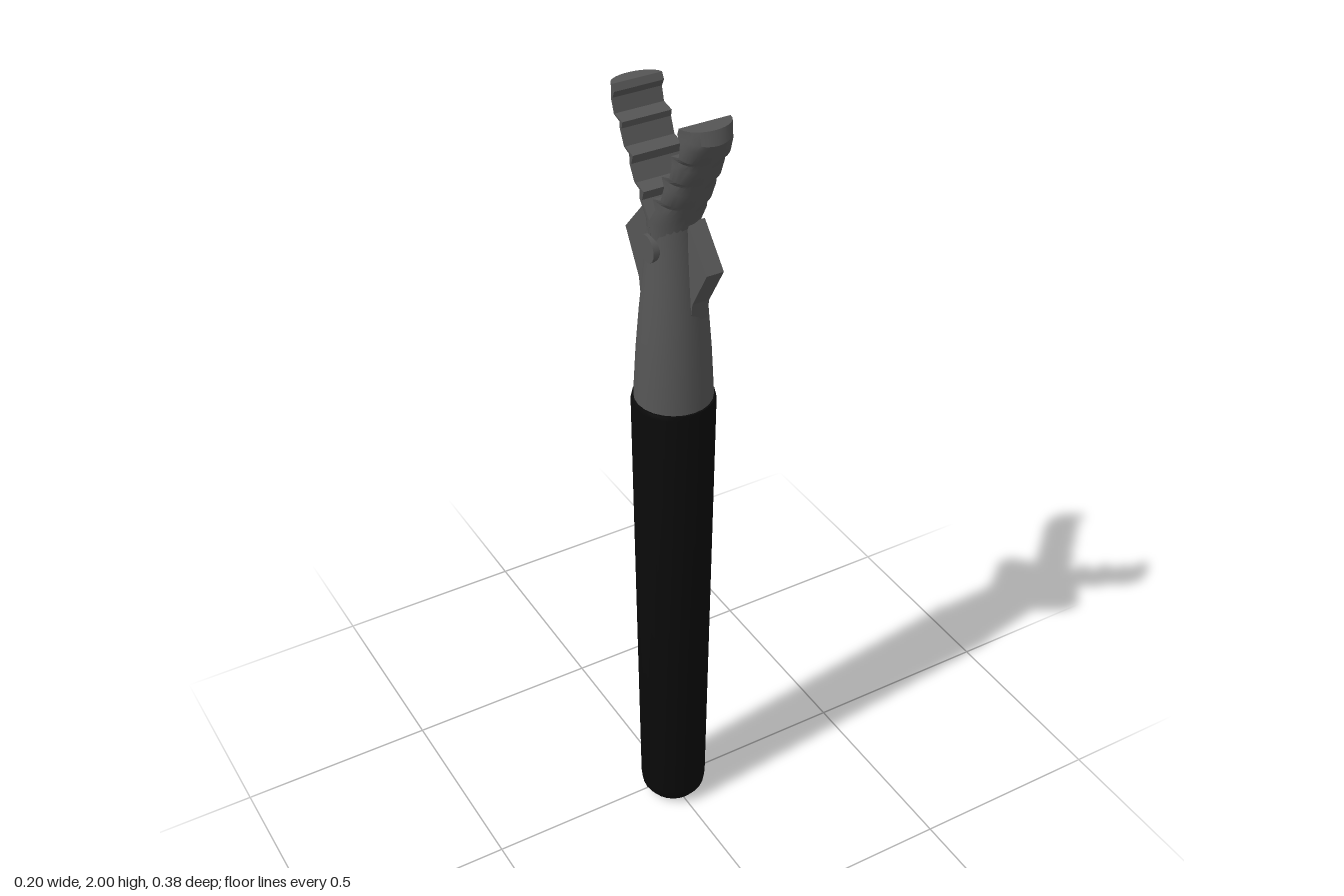
import * as THREE from 'three';
import { toCreasedNormals } from 'three/addons/utils/BufferGeometryUtils.js';

const AXIS_Z = 0.022; // the handle axis sits slightly forward of centre
const metal = new THREE.MeshStandardMaterial({ color: 0x555555 });
const grip = new THREE.MeshStandardMaterial({ color: 0x0a0a0a });

function add(parent, name, geometry, material) {
  const mesh = new THREE.Mesh(geometry, material);
  mesh.name = name;
  parent.add(mesh);
  return mesh;
}

function turned(points, sides) {
  const profile = points.map(([r, y]) => new THREE.Vector2(r, y));
  return toCreasedNormals(new THREE.LatheGeometry(profile, sides), 0.6);
}

// Jaw: D-shaped sections, flat toothed inner face and round back
function jawGeometry() {
  const inner = [
    [0, -0.1], [0, 0], [0.026, 0.037], [0.016, 0.058], [0.048, 0.069],
    [0.063, 0.106], [0.053, 0.127], [0.085, 0.138], [0.095, 0.175],
    [0.09, 0.19], [0.122, 0.2], [0.127, 0.233], [0.116, 0.249], [0.122, 0.265],
  ];
  const arc = 16, ring = arc + 1;
  const positions = [], index = [];
  inner.forEach(([z, y], i) => {
    const s = y / 0.249;
    let outer = [0.058 + s * 0.117, -0.01 + s * 0.245];
    if (i === 0) outer = [0.05, -0.1];
    if (i === inner.length - 1) outer = [0.164, 0.265];
    for (let j = 0; j <= arc; j++) {
      const a = (j / arc) * Math.PI, k = Math.sin(a);
      positions.push(0.06 * Math.cos(a), y + (outer[1] - y) * k, z + (outer[0] - z) * k);
    }
  });
  for (let i = 0; i < inner.length - 1; i++) {
    for (let j = 0; j < ring; j++) {
      const a = i * ring + j, b = i * ring + (j + 1) % ring;
      index.push(a, a + ring, b, b, a + ring, b + ring);
    }
  }
  // end caps
  const top = (inner.length - 1) * ring;
  for (let j = 1; j < arc; j++) {
    index.push(top, top + j + 1, top + j);
    index.push(0, j, j + 1);
  }
  const g = new THREE.BufferGeometry();
  g.setAttribute('position', new THREE.Float32BufferAttribute(positions, 3));
  g.setIndex(index);
  return toCreasedNormals(g, 0.5);
}

// Fin: angular lever plate beside the centre line
function finGeometry() {
  const shape = new THREE.Shape([
    [0, 1.48], [0.072, 1.5], [0.08, 1.55], [0.138, 1.65], [0.058, 1.74], [0, 1.7],
  ].map(([z, y]) => new THREE.Vector2(z, y)));
  const g = new THREE.ExtrudeGeometry(shape, { depth: 0.042, bevelEnabled: false });
  return g.rotateY(-Math.PI / 2).translate(0.042, 0, 0);
}

export function createModel() {
  const model = new THREE.Group();
  model.name = 'gripperTool';
  const tool = new THREE.Group();
  tool.name = 'tool';
  tool.position.z = AXIS_Z;
  model.add(tool);

  // Handle with rounded foot
  add(tool, 'handle', turned([
    [0, 0], [0.045, 0], [0.066, 0.012], [0.08, 0.032], [0.084, 0.055],
    [0.098, 1.262], [0.096, 1.272], [0, 1.272],
  ], 24), grip);

  // Tapering neck
  add(tool, 'neck', turned([
    [0.092, 1.26], [0.091, 1.29], [0.085, 1.4], [0.077, 1.5], [0.067, 1.6],
    [0.061, 1.67], [0.058, 1.725], [0, 1.725],
  ], 24), metal);

  // Pivot pin across the neck
  const pin = add(tool, 'pivotPin', new THREE.CylinderGeometry(0.032, 0.032, 0.136, 20), metal);
  pin.rotation.z = Math.PI / 2;
  pin.position.y = 1.668;

  // Opposed jaws, the back one opened a little further
  const jaw = jawGeometry(), fin = finGeometry();
  for (const [side, turn, tilt] of [['front', 0, 0], ['back', Math.PI, -0.118]]) {
    const j = add(tool, side + 'Jaw', jaw, metal);
    j.position.y = 1.735;
    j.rotation.set(tilt, turn, 0);
    add(tool, side + 'Fin', fin, metal).rotation.y = turn;
  }
  return model;
}
